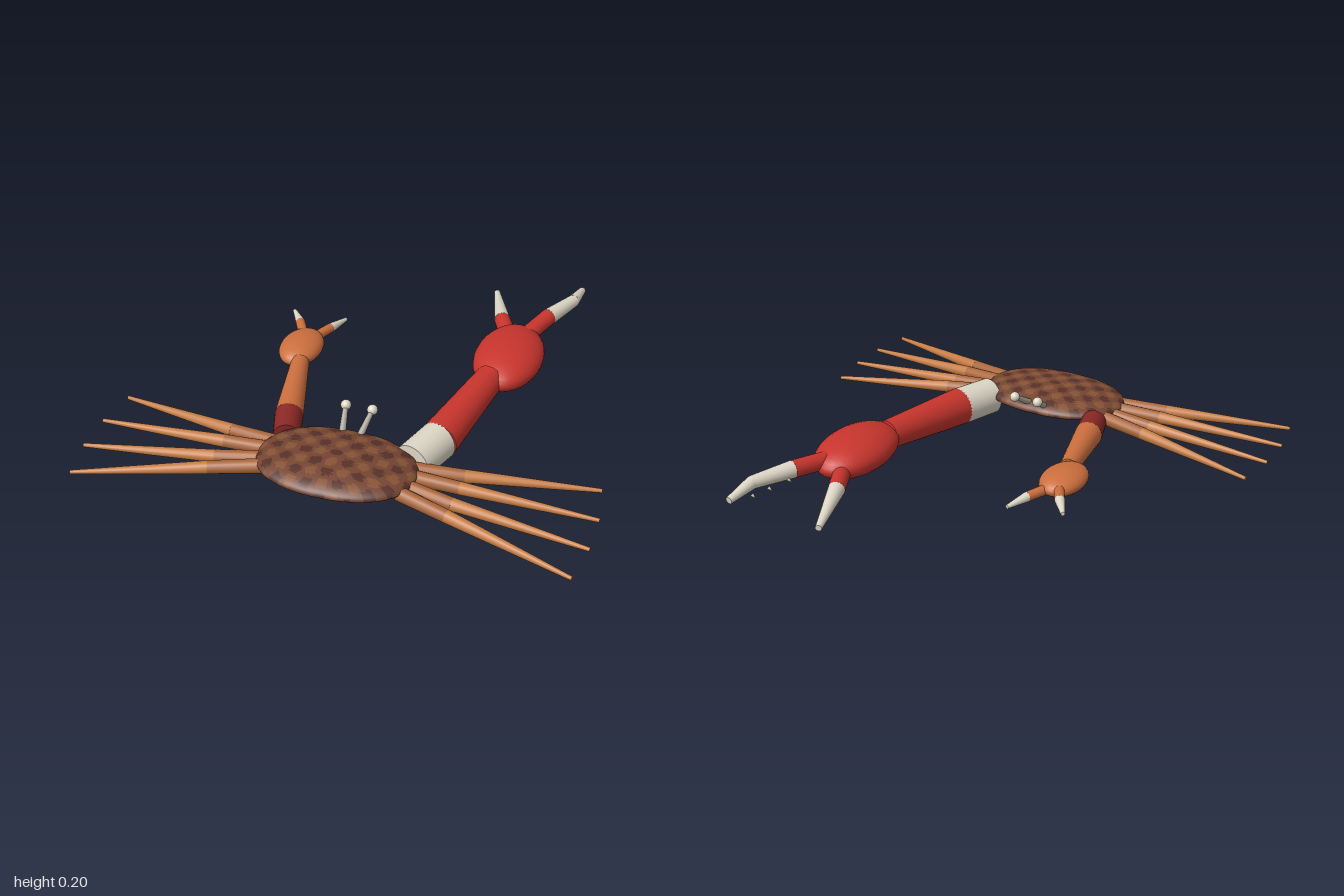
import * as THREE from 'three';
import { mergeVertices } from 'three/addons/utils/BufferGeometryUtils.js';

const mat = (color) => new THREE.MeshStandardMaterial({ color });
const M = {
  red: mat(0xc8352d), darkRed: mat(0x8a2825), bone: mat(0xddd7c6), orange: mat(0xcc6f3e),
  leg: mat(0xc47c44), legBase: mat(0xa9663a), stalk: mat(0xa9a598),
  shell: mat(0x744431), shellDark: mat(0x573028), shellLight: mat(0x875335), belly: mat(0x3a211a),
};
const V = (a) => new THREE.Vector3(...a);

function add(parent, name, geometry, material) {
  const mesh = new THREE.Mesh(geometry, material);
  mesh.name = name;
  parent.add(mesh);
  return mesh;
}

// Tapered round segment running from point a to point b
function segment(parent, name, a, b, ra, rb, material, sides = 20) {
  const d = V(b).sub(V(a));
  const mesh = add(parent, name, new THREE.CylinderGeometry(rb, ra, d.length(), sides), material);
  mesh.position.copy(V(a)).addScaledVector(d, 0.5);
  mesh.quaternion.setFromUnitVectors(new THREE.Vector3(0, 1, 0), d.normalize());
}

function ball(parent, name, center, radii, material, sides = 32) {
  const mesh = add(parent, name, new THREE.SphereGeometry(1, sides, sides / 2), material);
  mesh.position.set(...center);
  mesh.scale.set(...radii);
}

// Chain of segments; each joint gets a ball so bends stay closed
function chain(parent, names, points, radii, materials, sides) {
  for (let i = 0; i < points.length - 1; i++) {
    segment(parent, names[i], points[i], points[i + 1], radii[i], radii[i + 1], materials[i], sides);
    if (i > 0) {
      const r = radii[i] * 0.99;
      ball(parent, 'joint', points[i], [r, r, r], materials[i], 16);
    }
  }
}

// Squashed shell with a domed, mottled top and a flatter dark belly
function makeShell() {
  const group = new THREE.Group();
  group.name = 'shell';
  let g = new THREE.SphereGeometry(1, 80, 40);
  const p = g.attributes.position;
  const n = 2.25;
  for (let i = 0; i < p.count; i++) {
    const x = p.getX(i), y = p.getY(i), z = p.getZ(i);
    const a = Math.atan2(z, x);
    const f = (Math.abs(Math.cos(a)) ** n + Math.abs(Math.sin(a)) ** n) ** (-1 / n);
    p.setXYZ(i, x * f * 0.312, 0.103 + y * (y > 0 ? 0.056 : 0.038), 0.592 + z * f * 0.207);
  }
  g.deleteAttribute('uv');
  g.deleteAttribute('normal');
  g = mergeVertices(g, 1e-5);
  g.computeVertexNormals();
  g = g.toNonIndexed();

  // Sort the faces into ground colour, spots and belly
  const kinds = ['shellTop', 'darkSpots', 'lightSpots', 'belly'];
  const mats = [M.shell, M.shellDark, M.shellLight, M.belly];
  const bins = kinds.map(() => ({ pos: [], nor: [] }));
  const P = g.attributes.position.array, N = g.attributes.normal.array;
  for (let i = 0; i < P.length; i += 9) {
    const x = (P[i] + P[i + 3] + P[i + 6]) / 3;
    const y = (P[i + 1] + P[i + 4] + P[i + 7]) / 3;
    const z = (P[i + 2] + P[i + 5] + P[i + 8]) / 3;
    const w = Math.cos(x * 52) * Math.cos((z - 0.592) * 57 + Math.sin(x * 17) * 0.5);
    const k = y < 0.09 ? 3 : w > 0.4 ? 1 : w < -0.4 ? 2 : 0;
    bins[k].pos.push(...P.slice(i, i + 9));
    bins[k].nor.push(...N.slice(i, i + 9));
  }
  bins.forEach((b, k) => {
    const part = new THREE.BufferGeometry();
    part.setAttribute('position', new THREE.Float32BufferAttribute(b.pos, 3));
    part.setAttribute('normal', new THREE.Float32BufferAttribute(b.nor, 3));
    add(group, kinds[k], part, mats[k]);
  });
  return group;
}

// Four two-part legs on one side
function makeLegs(side) {
  const group = new THREE.Group();
  group.name = side > 0 ? 'leftLegs' : 'rightLegs';
  const rows = [ // base z, knee z, tip x, tip z
    [0.515, 0.48, 0.972, 0.372],
    [0.56, 0.555, 0.998, 0.545],
    [0.62, 0.655, 0.998, 0.715],
    [0.67, 0.728, 0.97, 0.885],
  ];
  for (const [bz, kz, tx, tz] of rows) {
    chain(group, ['upperLeg', 'lowerLeg'],
      [[side * 0.27, 0.088, bz], [side * 0.47, 0.076, kz], [side * tx, 0.048, tz]],
      [0.029, 0.026, 0.008], [M.legBase, M.leg], 16);
  }
  return group;
}

// Row of small teeth hanging from the inner edge of a finger
function teeth(parent, a, b, radius, inward) {
  for (const t of [0.15, 0.45, 0.7]) {
    const c = V(a).lerp(V(b), t);
    const r = radius * (1 - t * 0.5);
    const from = [c.x + inward * r * 0.7, c.y - r * 0.5, c.z];
    segment(parent, 'tooth', from, [from[0] + inward * 0.016, from[1] - 0.01, from[2]], 0.008, 0.001, M.bone, 8);
  }
}

function makeBigClaw() {
  const g = new THREE.Group();
  g.name = 'bigClaw';
  segment(g, 'cuff', [0.258, 0.083, 0.475], [0.315, 0.086, 0.31], 0.077, 0.079, M.bone, 32);
  segment(g, 'arm', [0.315, 0.086, 0.31], [0.405, 0.115, -0.12], 0.079, 0.06, M.red, 32);
  ball(g, 'palm', [0.44, 0.115, -0.29], [0.141, 0.08, 0.228], M.red);
  const inner = [[0.4, 0.105, -0.45], [0.337, 0.1, -0.585], [0.25, 0.076, -0.832]];
  chain(g, ['innerFingerBase', 'innerFinger'], inner, [0.036, 0.034, 0.013], [M.red, M.bone]);
  const outer = [[0.475, 0.132, -0.45], [0.533, 0.143, -0.6], [0.605, 0.142, -0.76], [0.618, 0.121, -0.892]];
  chain(g, ['outerFingerBase', 'outerFinger', 'outerFingerTip'], outer,
    [0.036, 0.036, 0.027, 0.015], [M.red, M.bone, M.bone]);
  teeth(g, inner[1], inner[2], 0.034, 1);
  teeth(g, outer[1], outer[3], 0.036, -1);
  return g;
}

function makeSmallClaw() {
  const g = new THREE.Group();
  g.name = 'smallClaw';
  segment(g, 'cuff', [-0.253, 0.085, 0.462], [-0.29, 0.09, 0.335], 0.053, 0.057, M.darkRed, 28);
  segment(g, 'arm', [-0.29, 0.09, 0.335], [-0.368, 0.11, 0], 0.057, 0.037, M.orange, 28);
  ball(g, 'palm', [-0.4, 0.115, -0.1], [0.088, 0.047, 0.13], M.orange);
  chain(g, ['outerFingerBase', 'outerFinger'],
    [[-0.425, 0.12, -0.19], [-0.468, 0.122, -0.268], [-0.525, 0.118, -0.352]],
    [0.021, 0.02, 0.008], [M.orange, M.bone]);
  chain(g, ['innerFingerBase', 'innerFinger'],
    [[-0.378, 0.11, -0.19], [-0.337, 0.108, -0.285], [-0.302, 0.1, -0.38]],
    [0.021, 0.02, 0.008], [M.orange, M.bone]);
  return g;
}

function makeEye(side) {
  const g = new THREE.Group();
  g.name = side > 0 ? 'leftEye' : 'rightEye';
  segment(g, 'eyeStalk', [side * 0.036, 0.125, 0.425], [side * 0.054, 0.185, 0.33], 0.014, 0.01, M.stalk, 16);
  ball(g, 'eyeball', [side * 0.054, 0.186, 0.328], [0.021, 0.021, 0.021], M.bone, 20);
  return g;
}

export function createModel() {
  const model = new THREE.Group();
  model.name = 'crab';
  model.add(makeShell(), makeBigClaw(), makeSmallClaw());
  for (const side of [1, -1]) model.add(makeLegs(side), makeEye(side));
  return model;
}
